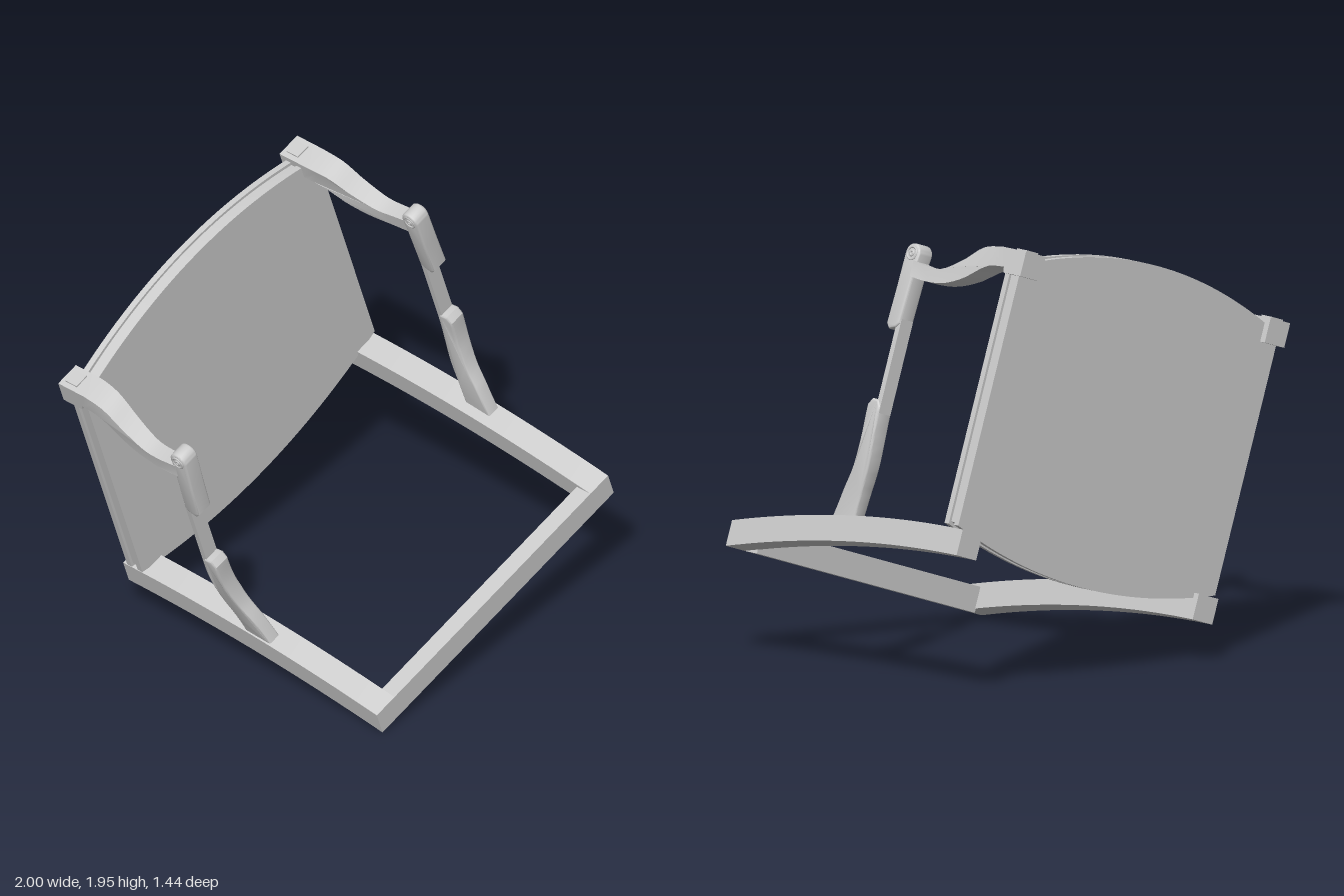
import * as THREE from 'three';
import { toCreasedNormals } from 'three/addons/utils/BufferGeometryUtils.js';

const material = new THREE.MeshStandardMaterial({ color: 0xcccccc });
const { smoothstep, lerp } = THREE.MathUtils;

function add(parent, name, geometry) {
  const mesh = new THREE.Mesh(geometry, material);
  mesh.name = name;
  parent.add(mesh);
  return mesh;
}

// Smooth curve through [z, y] points
function curve(points, n = 16) {
  return new THREE.SplineCurve(points.map(p => new THREE.Vector2(...p))).getPoints(n);
}

// Side profile (z, y) given a thickness in x; width(z, y) and centre(z, y) shape it sideways
function profile(outline, width, centre, bevel = 0) {
  const shape = new THREE.Shape(outline.map(p => (p.isVector2 ? p : new THREE.Vector2(...p))));
  const geo = new THREE.ExtrudeGeometry(shape, {
    depth: 1 - 2 * bevel * 12, curveSegments: 12, bevelEnabled: bevel > 0,
    bevelSize: bevel, bevelOffset: -bevel, bevelThickness: bevel * 12, bevelSegments: 3,
  });
  geo.translate(0, 0, -0.5 + bevel * 12);
  geo.rotateY(-Math.PI / 2);
  const p = geo.attributes.position;
  for (let i = 0; i < p.count; i++) {
    const y = p.getY(i), z = p.getZ(i);
    p.setX(i, p.getX(i) * width(z, y) + centre(z, y));
  }
  return toCreasedNormals(geo, 0.6);
}

// Back panel slab with straight sides and bowed top and bottom
function slab(inset, depth) {
  const w = 0.79 - inset, n = 32, pts = [];
  for (let i = 0; i <= n; i++) {
    const t = -1 + 2 * i / n;
    pts.push(new THREE.Vector2(t * w, 0.175 + inset + 0.12 * t * t));
  }
  for (let i = n; i >= 0; i--) {
    const t = -1 + 2 * i / n;
    pts.push(new THREE.Vector2(t * w, 1.61 - inset - 0.15 * t * t));
  }
  const geo = new THREE.ExtrudeGeometry(new THREE.Shape(pts), { depth, bevelEnabled: false });
  return toCreasedNormals(geo, 0.6);
}

export function createModel() {
  const root = new THREE.Group();
  root.name = 'armchairFrame';

  // The whole frame leans over sideways on one corner
  const frame = new THREE.Group();
  frame.name = 'tiltedFrame';
  frame.rotation.z = Math.atan2(0.5, 1.49);
  frame.position.set(0.255, 0.25, 0);
  root.add(frame);

  // Layered back panel with a groove around its edge
  const layers = [['backPanelRear', 0, -0.69, 0.028], ['backPanelCore', 0.012, -0.665, 0.04], ['backPanelFront', 0, -0.628, 0.028]];
  for (const [name, inset, z, depth] of layers) add(frame, name, slab(inset, depth)).position.z = z;

  // Front seat rail
  add(frame, 'frontRail', new THREE.BoxGeometry(1.34, 0.115, 0.08)).position.set(0, 0.0575, 0.68);

  // Outlines shared by both sides
  const rise = z => 0.168 * (1 - ((z + 0.72) / 1.44) ** 2);
  const railOutline = [];
  for (let i = 0; i <= 24; i++) {
    const z = -0.72 + 0.06 * i;
    railOutline.push([z, rise(z)]);
  }
  for (let i = 24; i >= 0; i--) {
    const z = -0.72 + 0.06 * i;
    railOutline.push([z, rise(z) + 0.115]);
  }

  const armOutline = [
    [-0.72, 1.41], [-0.61, 1.41],
    ...curve([[-0.605, 1.435], [-0.5, 1.422], [-0.38, 1.35], [-0.27, 1.31], [-0.16, 1.302], [-0.06, 1.31]]),
    ...curve([[-0.06, 1.38], [-0.16, 1.367], [-0.25, 1.372], [-0.36, 1.43], [-0.46, 1.5], [-0.57, 1.52]]),
    [-0.72, 1.52],
  ];

  const scrollOutline = [[-0.075, 1.1], [-0.055, 1.08], [-0.015, 1.068], [0.006, 1.09], [0.006, 1.25]];
  for (let i = 0; i <= 14; i++) {
    const a = Math.PI * i / 14;
    scrollOutline.push([-0.036 + 0.045 * Math.cos(a), 1.41 + 0.045 * Math.sin(a)]);
  }
  scrollOutline.push([-0.075, 1.36]);

  const legOutline = [
    ...curve([[-0.015, 0.2], [-0.04, 0.34], [-0.068, 0.47], [-0.077, 0.6], [-0.077, 0.73]]),
    [-0.06, 0.755], [-0.02, 0.76],
    ...curve([[0.002, 0.73], [0.004, 0.6], [0.03, 0.46], [0.075, 0.35], [0.12, 0.22]]),
  ];

  for (const s of [1, -1]) {
    const side = new THREE.Group();
    side.name = s > 0 ? 'leftSide' : 'rightSide';
    frame.add(side);

    // Bowed side rail
    add(side, 'sideRail', profile(railOutline, () => 0.12, () => s * 0.726));

    // S-shaped armrest, widest at the back
    const front = z => smoothstep(z, -0.6, -0.1);
    add(side, 'armrest', profile(armOutline, z => lerp(0.12, 0.072, front(z)), z => s * lerp(0.752, 0.797, front(z))));
    add(side, 'armPlug', new THREE.BoxGeometry(0.07, 0.012, 0.065)).position.set(s * 0.752, 1.521, -0.665);

    // Arm support: scroll block, slim slat and sweeping leg
    const centre = (z, y) => s * (y > 0.9 ? lerp(0.8, 0.787, smoothstep(y, 1.05, 1.45)) : lerp(0.743, 0.8, smoothstep(y, 0.15, 0.72)));
    add(side, 'scrollBlock', profile(scrollOutline, () => 0.084, centre, 0.01));
    add(side, 'supportSlat', profile([[-0.078, 0.7], [-0.052, 0.7], [-0.052, 1.12], [-0.078, 1.12]], () => 0.07, () => s * 0.8));
    add(side, 'supportLeg', profile(legOutline, (z, y) => lerp(0.062, 0.082, smoothstep(y, 0.2, 0.7)), centre, 0.01));

    // Scroll rings on both faces of the block
    for (const f of [-1, 1]) {
      for (const [radius, tube] of [[0.028, 0.005], [0.01, 0.006]]) {
        const ring = add(side, 'scrollRing', new THREE.TorusGeometry(radius, tube, 8, 24));
        ring.rotation.y = Math.PI / 2;
        ring.position.set(s * 0.788 + f * 0.041, 1.41, -0.036);
      }
    }
  }
  return root;
}
